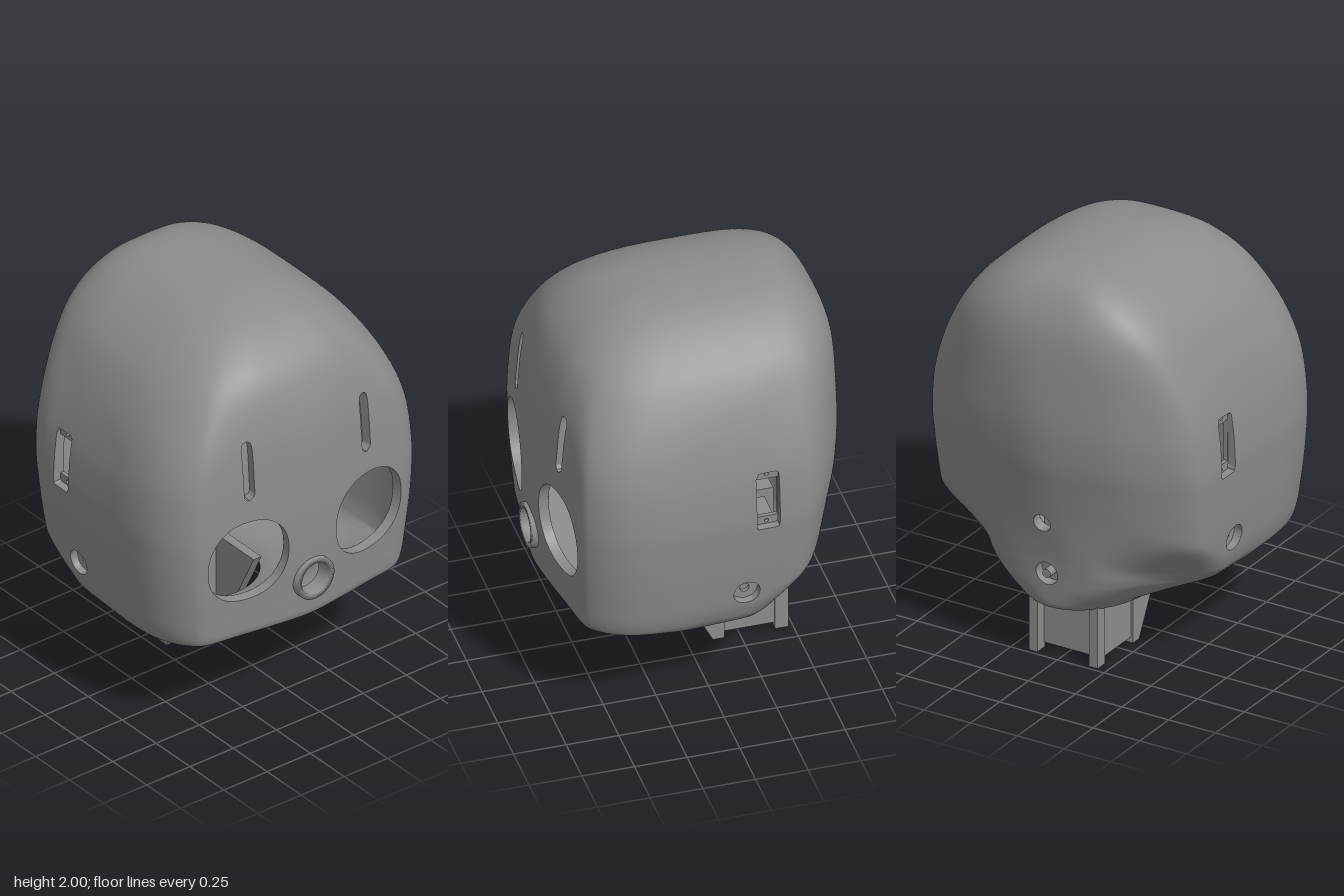
import * as THREE from 'three';

const grey = new THREE.MeshStandardMaterial({ color: 0x8c8c8c, side: THREE.DoubleSide });
const V = (x, y, z) => new THREE.Vector3(x, y, z);
const spline = (pts, closed) => new THREE.CatmullRomCurve3(pts, closed, 'catmullrom', 0.5);
const smooth = THREE.MathUtils.smoothstep;
const THICK = 0.05, MID = -0.15;

// Head profile from crown to neck rim: y, back x, front x, half width
// (the first row mirrors the third so the crown is level)
const rows = [
  [1.99, -.42, .14, -.133], [2, -.32, .02, 0], [1.99, -.42, .14, .133], [1.96, -.5, .3, .25],
  [1.9, -.575, .44, .37], [1.8, -.64, .56, .493], [1.68, -.68, .63, .587], [1.5, -.707, .68, .675],
  [1.3, -.72, .7, .733], [1.1, -.705, .71, .755], [.95, -.675, .71, .753], [.8, -.645, .705, .742],
  [.65, -.615, .695, .725], [.57, -.602, .69, .713], [.51, -.595, .683, .695], [.485, -.592, .655, .682],
  [.465, -.59, .55, .665], [.44, -.588, .45, .637], [.405, -.585, .375, .575], [.365, -.582, .31, .465],
  [.33, -.579, .25, .365], [.31, -.573, .2, .325], [.295, -.56, .16, .305]];
const ends = spline(rows.map(r => V(r[1], r[0], r[2])), false);
const widths = spline(rows.map(r => V(r[3], r[0], 0)), false);
const T0 = 1 / (rows.length - 1);

// Plan outlines, half loop from back to front, mirrored to a closed curve
const outline = half => spline([
  ...half.map(p => V(p[0], 0, p[1])),
  ...half.slice(1, -1).reverse().map(p => V(p[0], 0, -p[1]))], true);
const face = [[.29, .99], [.5, 1], [.663, .983], [.78, .934], [.866, .861], [.913, .77],
  [.944, .53], [.978, .265], [1, 0]];
const skullPlan = outline([[-1, 0], [-.965, .225], [-.87, .517], [-.725, .755], [-.57, .91],
  [-.39, .968], [-.08, .978], ...face]);
const jawPlan = outline([[-1, 0], [-.99, .2], [-.94, .36], [-.8, .5], [-.58, .63],
  [-.32, .81], [-.02, .95], ...face]);
const oval = n => outline(Array.from({ length: 16 }, (_, i) => {
  const c = Math.cos(Math.PI * i / 15), s = Math.max(0, Math.sin(Math.PI * i / 15));
  return [-Math.sign(c) * Math.abs(c) ** (2 / n), i === 15 ? 0 : s ** (2 / n)];
}));
const crownPlan = oval(3.2), rimPlan = oval(2);

// Openings as signed distances, negative inside
const eye = (y, z) => Math.pow(
  Math.pow(Math.abs(Math.abs(z) - .347), 2.2) + Math.pow(Math.abs(y - .91), 2.2), 1 / 2.2) - .21;
const brow = (y, z) => Math.hypot(Math.abs(z) - .337, y - THREE.MathUtils.clamp(y, 1.257, 1.503)) - .027;
function throughHoles({ x, y, z }) {
  let d = 1;
  if (x > .4) d = Math.min(d, eye(y, z), Math.hypot(y - .705, z) - .09);
  if (Math.abs(z) > .5) d = Math.min(d,
    Math.max(Math.abs(x + .215) - .055, Math.abs(y - 1.16) - .148),
    Math.hypot(x + .12, y - .65) - .063);
  if (x < -.5) d = Math.min(d, Math.hypot(y - .755, z) - .045);
  return d;
}
function allHoles(p) {
  let d = throughHoles(p);
  if (p.x > .4) d = Math.min(d, brow(p.y, p.z));
  if (p.x < -.5) d = Math.min(d, Math.hypot(p.y - .48, p.z) - .058);
  return d;
}

// Loft of the head as a grid of points with normals
function headGrid(nu, nv) {
  const pos = [], index = [];
  for (let j = 0; j <= nv; j++) {
    const t = T0 + (1 - T0) * j / nv;
    const e = ends.getPoint(t), hw = Math.max(0, widths.getPoint(t).x);
    const crown = smooth(e.y, 1.3, 1.95), rim = 1 - smooth(e.y, .295, .42);
    for (let i = 0; i < nu; i++) {
      const s = skullPlan.getPoint(i / nu);
      // The step from skull to neck column climbs towards the back
      const step = .46 - .25 * Math.min(0, s.x);
      const jaw = 1 - smooth(e.y, step - .13, step + .12);
      s.lerp(crownPlan.getPoint(i / nu), crown)
        .lerp(jawPlan.getPoint(i / nu), jaw).lerp(rimPlan.getPoint(i / nu), rim);
      pos.push(MID + s.x * (s.x > 0 ? e.z - MID : MID - e.x), e.y, s.z * hw);
      if (j < nv) {
        const k = j * nu + i, r = j * nu + (i + 1) % nu;
        index.push(k, k + nu, r, r, k + nu, r + nu);
      }
    }
  }
  const g = new THREE.BufferGeometry();
  g.setAttribute('position', new THREE.Float32BufferAttribute(pos, 3));
  g.setIndex(index);
  g.computeVertexNormals();
  const points = [];
  for (let k = 0; k < pos.length / 3; k++) {
    points.push({
      p: V().fromBufferAttribute(g.attributes.position, k),
      n: k < nu ? V(0, 1, 0) : V().fromBufferAttribute(g.attributes.normal, k)
    });
  }
  return { points, index };
}

const geometry = (pos, nor) => {
  const g = new THREE.BufferGeometry();
  g.setAttribute('position', new THREE.Float32BufferAttribute(pos, 3));
  if (nor) g.setAttribute('normal', new THREE.Float32BufferAttribute(nor, 3));
  else g.computeVertexNormals();
  return g;
};

// Clip the loft by the openings; also return the walls through the thickness
function carve(nu, nv, sdf, inner) {
  const { points, index } = headGrid(nu, nv), pos = [], nor = [], wall = [];
  points.forEach(q => { q.d = sdf(q.p); });
  const deep = q => q.p.clone().addScaledVector(q.n, -THICK);
  const addWall = (a, b) => {
    for (const p of [a.p, b.p, deep(b), a.p, deep(b), deep(a)]) wall.push(p.x, p.y, p.z);
  };
  for (let t = 0; t < index.length; t += 3) {
    const tri = [0, 1, 2].map(c => points[index[t + c]]), poly = [], cut = [];
    tri.forEach((a, c) => {
      const b = tri[(c + 1) % 3];
      if (a.d >= 0) poly.push(a);
      if ((a.d >= 0) !== (b.d >= 0)) {
        const f = a.d / (a.d - b.d);
        const m = { p: a.p.clone().lerp(b.p, f), n: a.n.clone().lerp(b.n, f).normalize() };
        poly.push(m);
        cut.push(m);
      }
    });
    for (let k = 1; k + 1 < poly.length; k++) {
      const fan = inner ? [poly[0], poly[k + 1], poly[k]] : [poly[0], poly[k], poly[k + 1]];
      for (const q of fan) {
        const p = inner ? deep(q) : q.p, s = inner ? -1 : 1;
        pos.push(p.x, p.y, p.z);
        nor.push(s * q.n.x, s * q.n.y, s * q.n.z);
      }
    }
    if (cut.length === 2) addWall(cut[0], cut[1]);
  }
  // Neck rim edge
  for (let i = 0; i < nu; i++) addWall(points[nv * nu + i], points[nv * nu + (i + 1) % nu]);
  return { skin: geometry(pos, nor), walls: geometry(wall) };
}

export function createModel() {
  const model = new THREE.Group();
  const add = (name, geo, x = 0, y = 0, z = 0) => {
    const m = new THREE.Mesh(geo, grey);
    m.name = name;
    m.position.set(x, y, z);
    model.add(m);
    return m;
  };
  const box = (name, x0, x1, y0, y1, z0, z1) => add(name, new THREE.BoxGeometry(x1 - x0, y1 - y0, z1 - z0),
    (x0 + x1) / 2, (y0 + y1) / 2, (z0 + z1) / 2);
  const polygon = pts => new THREE.Shape(pts.map(p => new THREE.Vector2(...p)));
  const rect = (w, h) => polygon([[-w, -h], [w, -h], [w, h], [-w, h]]);
  const disc = (r, y = 0) => new THREE.Shape().absarc(0, y, r, 0, Math.PI * 2);
  const plate = (shape, depth) => new THREE.ExtrudeGeometry(shape, { depth, bevelEnabled: false, curveSegments: 20 });

  // Head shell
  const outer = carve(280, 160, allHoles, false);
  add('headShell', outer.skin);
  add('openingWalls', outer.walls);
  add('headLining', carve(120, 100, throughHoles, true).skin);

  // Raised ring between the eyes
  const ring = [[.08, -.07], [.108, -.07], [.108, .01], [.08, .01], [.08, -.07]];
  add('noseRing', new THREE.LatheGeometry(ring.map(p => new THREE.Vector2(...p)), 40), .71, .705, 0)
    .rotation.z = -Math.PI / 2;

  // Recessed servo frames, ear sockets and inner supports, on both sides
  const frame = rect(.06, .152);
  frame.holes.push(rect(.053, .105), disc(.01, .13), disc(.01, -.13));
  const socket = disc(.066);
  socket.holes.push(disc(.022));
  for (const s of [1, -1]) {
    add('servoFrame', plate(frame, .02), -.215, 1.16, s * .69 - .01);
    add('earSocket', plate(socket, .02), -.12, .65, s * .66 - .01);
    for (const y of [.955, 1.36]) box('servoBoss', -.27, -.16, y - .045, y + .045, s * .56 - .08, s * .56 + .08);
    box('innerShelf', -.25, 0, .68, .8, s * .36 - .15, s * .36 + .15);
  }

  // Boss in the rear socket
  add('rearBoss', new THREE.CylinderGeometry(.022, .022, .05, 20), -.57, .48, 0).rotation.z = Math.PI / 2;

  // Neck: tray with rear posts and sloped front gussets
  box('neckTray', -.42, -.17, .025, .765, -.12, .16);
  const gusset = polygon([[-.175, 0], [-.12, 0], [.04, .31], [.11, .45], [-.175, .45]]);
  for (const z of [-.165, .158]) {
    box('neckPost', -.48, -.415, 0, .45, z, z + .045);
    add('neckGusset', plate(gusset, .045), 0, 0, z);
    box('neckSide', -.415, -.175, .03, .45, z + .01, z + .035);
  }
  return model;
}
